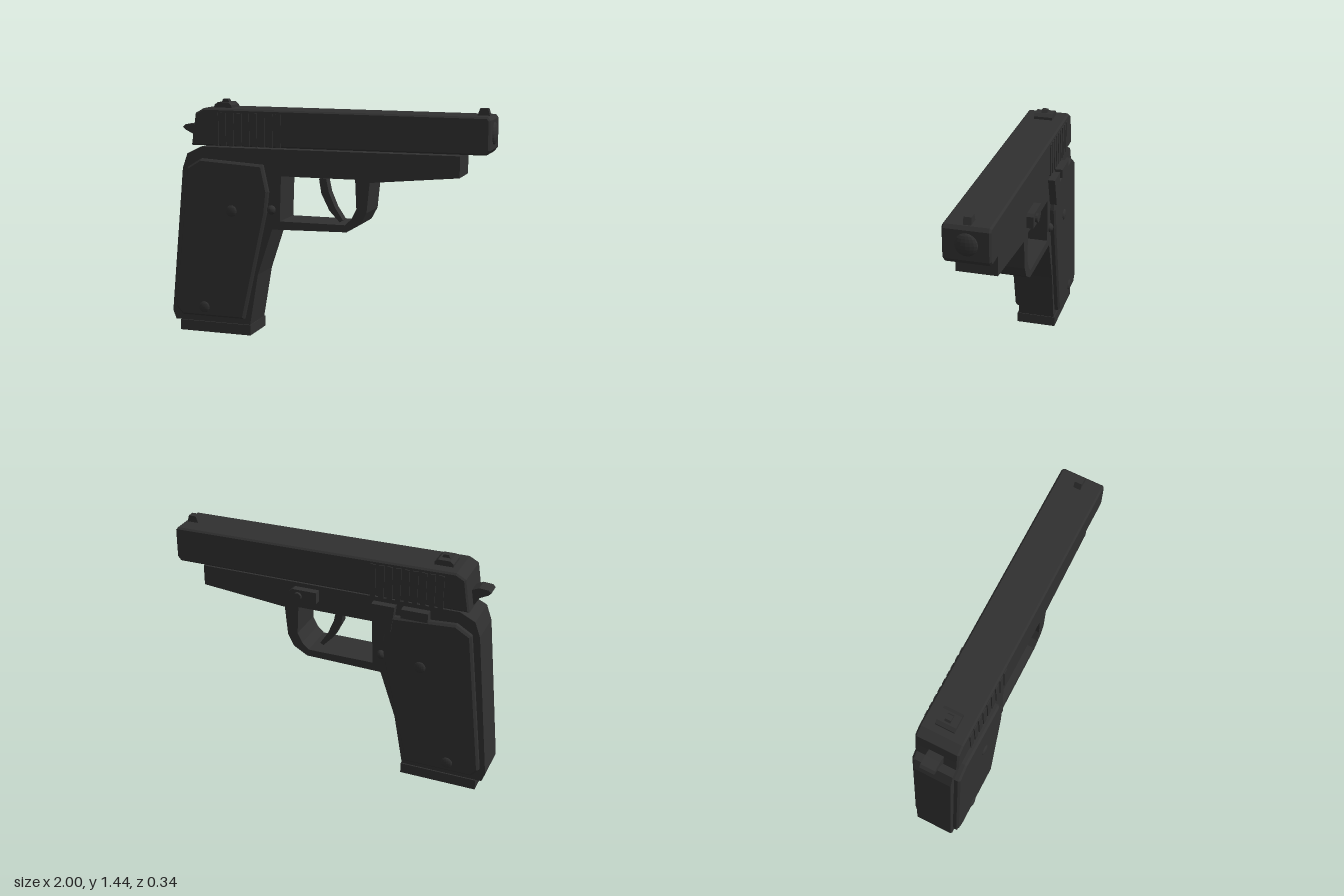
import * as THREE from 'three';

const MID = 0.008; // centre plane of the body in z

export function createModel() {
  const model = new THREE.Group();
  const blackMetal = new THREE.MeshStandardMaterial({ color: 0x303030, flatShading: true });
  blackMetal.name = 'blackMetal';

  const add = (name, geo, x = 0, y = 0, z = 0) => {
    const mesh = new THREE.Mesh(geo, blackMetal);
    mesh.name = name;
    mesh.position.set(x, y, z);
    model.add(mesh);
    return mesh;
  };
  const vectors = (pts) => pts.map(([x, y]) => new THREE.Vector2(x, y));

  // Extrude a side profile between two z planes, with an optional inset bevel
  const plate = (name, pts, z0, z1, bevel = 0, hole = null) => {
    const shape = new THREE.Shape(vectors(pts));
    if (hole) shape.holes.push(new THREE.Path(vectors(hole)));
    const geo = new THREE.ExtrudeGeometry(shape, {
      depth: z1 - z0 - 2 * bevel,
      bevelEnabled: bevel > 0,
      bevelSize: bevel,
      bevelOffset: -bevel,
      bevelThickness: bevel,
      bevelSegments: 1,
    });
    return add(name, geo, 0, 0, z0 + bevel);
  };
  const block = (name, x0, x1, y0, y1, z0, z1) =>
    add(name, new THREE.BoxGeometry(x1 - x0, y1 - y0, z1 - z0), (x0 + x1) / 2, (y0 + y1) / 2, (z0 + z1) / 2);

  // Low dome facing along z
  const dome = (name, x, y, z, r, height) => {
    const geo = new THREE.SphereGeometry(1, 16, 10);
    geo.scale(r, r, height);
    return add(name, geo, x, y, z);
  };

  // Frame with grip and trigger guard
  plate('frame', [
    [-0.98, 0.065], [-0.48, 0.065], [-0.425, 0.385], [-0.33, 0.67], [0.14, 0.68],
    [0.225, 0.73], [0.262, 0.8], [0.28, 0.98], [0.81, 1.03], [0.81, 1.155],
    [-0.79, 1.155], [-0.88, 1.11], [-0.912, 1.02], [-1, 0.12],
  ], MID - 0.117, MID + 0.117, 0, [
    [-0.27, 0.995], [0.192, 0.995], [0.2, 0.82], [0.17, 0.76], [0.13, 0.722], [-0.28, 0.722],
  ]);
  block('magazineBase', -0.945, -0.475, 0, 0.065, MID - 0.125, MID + 0.127);

  // Slide
  plate('slide', [
    [-0.845, 1.165], [0.96, 1.165], [0.98, 1.19], [0.98, 1.36], [0.965, 1.38],
    [-0.76, 1.39], [-0.815, 1.36], [-0.83, 1.26],
  ], MID - 0.132, MID + 0.132, 0.01);

  // Grip serrations on both sides of the slide
  for (const side of [-1, 1]) {
    for (let i = 0; i < 9; i++) {
      const z = MID + side * 0.133;
      const x = -0.68 + i * 0.05;
      block('slideRib', x - 0.016, x + 0.016, 1.166, 1.365, z - 0.005, z + 0.005);
    }
  }

  // Rounded muzzle end
  const muzzle = dome('muzzle', 0.978, 1.28, MID, 0.065, 0.022);
  muzzle.rotation.y = Math.PI / 2;

  // Sights
  plate('rearSight', [[-0.72, 1.38], [-0.61, 1.38], [-0.61, 1.405], [-0.63, 1.422], [-0.7, 1.422], [-0.72, 1.405]],
    MID - 0.058, MID + 0.058);
  plate('rearSightBlade', [[-0.69, 1.42], [-0.64, 1.42], [-0.65, 1.44], [-0.68, 1.44]], MID - 0.018, MID + 0.018);
  plate('frontSight', [[0.883, 1.375], [0.958, 1.375], [0.945, 1.42], [0.9, 1.42]], MID - 0.022, MID + 0.022);

  // Hammer and trigger
  plate('hammer', [
    [-0.94, 1.265], [-0.925, 1.28], [-0.87, 1.285], [-0.82, 1.262], [-0.81, 1.175],
    [-0.845, 1.175], [-0.875, 1.225], [-0.925, 1.25],
  ], MID - 0.045, MID + 0.045);
  plate('trigger', [
    [-0.06, 0.98], [-0.045, 0.89], [0.005, 0.79], [0.07, 0.722], [0.09, 0.735],
    [0.04, 0.81], [0.002, 0.9], [-0.015, 0.98],
  ], MID - 0.032, MID + 0.032);

  // Grip panels, their screws and the frame pin, mirrored about the centre plane
  const panel = [
    [-0.965, 0.155], [-0.92, 0.105], [-0.51, 0.105], [-0.36, 0.77], [-0.345, 0.9],
    [-0.38, 1.06], [-0.78, 1.085], [-0.87, 1.03],
  ];
  for (const side of [-1, 1]) {
    const inner = MID + side * 0.105;
    const outer = MID + side * 0.152;
    plate('gripPanel', panel, Math.min(inner, outer), Math.max(inner, outer), 0.012);
    dome('gripScrew', -0.58, 0.775, outer, 0.035, 0.012);
    dome('gripScrew', -0.77, 0.165, outer, 0.035, 0.012);
    dome('framePin', -0.333, 0.79, MID + side * 0.117, 0.028, 0.025);
  }

  // Controls on the far side
  plate('safetyLever', [[-0.28, 1.13], [-0.42, 1.13], [-0.4, 0.97], [-0.34, 0.945]].reverse(), -0.152, -0.1);
  block('safetyThumbPiece', -0.62, -0.46, 1.075, 1.13, -0.157, -0.1);
  plate('slideStop', [[0.06, 1.06], [0.08, 1.045], [0.23, 1.045], [0.23, 1.115], [0.21, 1.13], [0.06, 1.13]],
    -0.152, -0.1);
  const pin = add('slideStopPin', new THREE.CylinderGeometry(0.026, 0.026, 0.05, 16), 0.175, 1.09, -0.143);
  pin.rotation.x = Math.PI / 2;

  return model;
}
